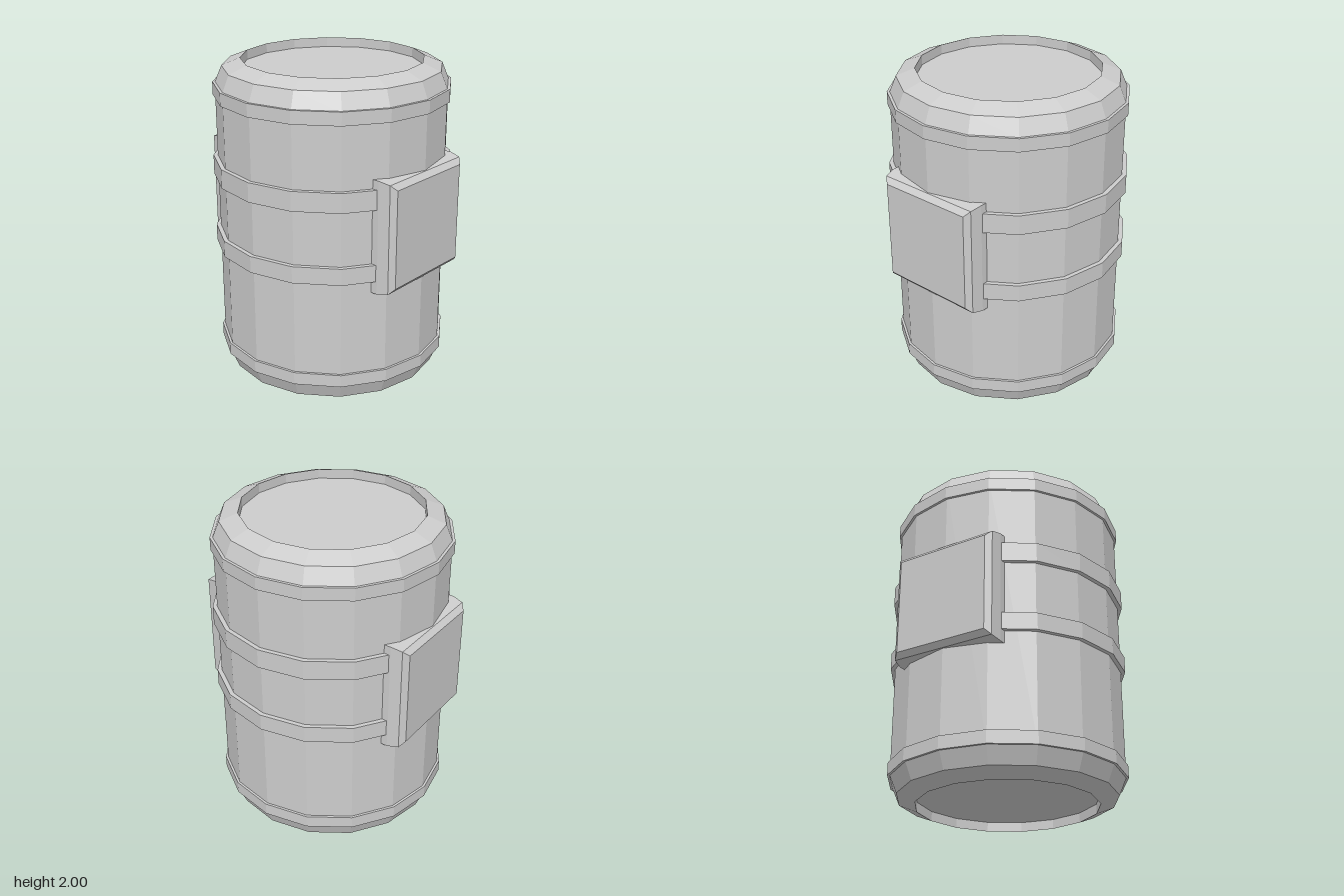
import * as THREE from 'three';

const SIDES = 16;

export function createModel() {
  const model = new THREE.Group();
  model.name = 'barrel';
  const grey = new THREE.MeshStandardMaterial({ color: 0xcccccc, flatShading: true });
  grey.name = 'plain grey';

  const add = (name, geometry) => {
    const mesh = new THREE.Mesh(geometry, grey);
    mesh.name = name;
    model.add(mesh);
    return mesh;
  };
  const lathe = (points) =>
    new THREE.LatheGeometry(points.map(([r, y]) => new THREE.Vector2(r, y)), SIDES);

  // Drum with chamfered shoulders and a recessed lid and base
  const lower = [[0, 0.06], [0.555, 0.06], [0.555, 0], [0.667, 0.045], [0.71, 0.148]];
  const upper = lower.map(([r, y]) => [r, 2 - y]).reverse();
  add('drum', lathe([...lower, ...upper]));

  // Raised hoops: name, bottom, top, outer radius
  const hoops = [
    ['bottomHoop', 0.148, 0.227, 0.725],
    ['lowerHoop', 0.828, 0.933, 0.737],
    ['upperHoop', 1.273, 1.394, 0.737],
    ['topHoop', 1.777, 1.857, 0.725],
  ];
  for (const [name, y0, y1, r] of hoops) {
    add(name, lathe([[0.68, y0], [r, y0], [r, y1], [0.68, y1]]));
  }

  // Square plates with rounded rims, front and back, sunk into the drum
  const bevel = 0.047;
  const h = 0.35 - bevel;
  const square = new THREE.Shape([
    new THREE.Vector2(-h, -h), new THREE.Vector2(h, -h),
    new THREE.Vector2(h, h), new THREE.Vector2(-h, h),
  ]);
  const plate = new THREE.ExtrudeGeometry(square, {
    depth: 0.145, bevelEnabled: true, bevelThickness: 0.1, bevelSize: bevel, bevelSegments: 2,
  });
  plate.translate(0, 0, 0.5);
  ['frontPlate', 'backPlate'].forEach((name, i) => {
    const mesh = add(name, plate);
    mesh.position.y = 1.1;
    mesh.rotation.y = i * Math.PI;
  });

  return model;
}
